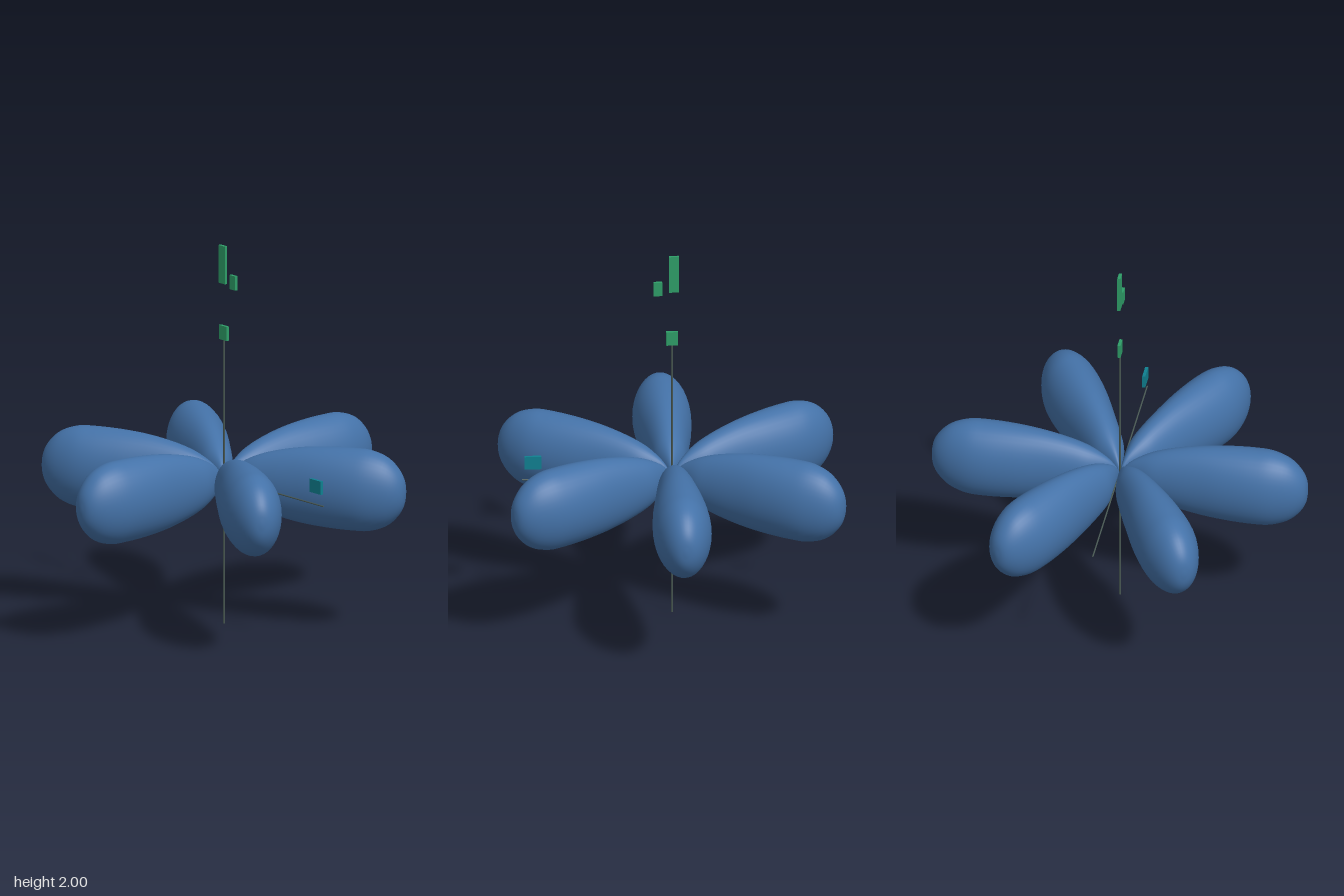
import * as THREE from 'three';

const CENTER_Y = 0.77;

// lobe stations: distance from the centre, half-width, half-height
const STATIONS = [
  [0.015, 0.008, 0.02], [0.05, 0.027, 0.062], [0.1, 0.054, 0.098], [0.165, 0.082, 0.132],
  [0.25, 0.098, 0.162], [0.4, 0.12, 0.195], [0.55, 0.141, 0.211], [0.7, 0.15, 0.216],
  [0.79, 0.142, 0.212], [0.88, 0.115, 0.18], [0.94, 0.08, 0.125], [0.97, 0.044, 0.07], [0.98, 0, 0],
];

const material = (color) => new THREE.MeshStandardMaterial({ color });

// one lobe along +z, lofted through elliptical cross-sections
function lobeGeometry(rings = 48, sides = 40) {
  const curve = new THREE.CatmullRomCurve3(
    STATIONS.map(([t, w, h]) => new THREE.Vector3(w, h, t)), false, 'centripetal');
  const positions = [], index = [];
  for (let i = 0; i <= rings; i++) {
    const p = curve.getPointAt(i / rings);
    for (let j = 0; j < sides; j++) {
      const a = (j / sides) * Math.PI * 2;
      positions.push(p.x * Math.cos(a), p.y * Math.sin(a), p.z);
    }
  }
  for (let i = 0; i < rings; i++) {
    for (let j = 0; j < sides; j++) {
      const a = i * sides + j, b = i * sides + ((j + 1) % sides);
      const c = a + sides, d = b + sides;
      index.push(a, b, c);
      if (i < rings - 1) index.push(b, d, c);
    }
  }
  // close the small inner end
  for (let j = 1; j < sides - 1; j++) index.push(0, j + 1, j);
  const geometry = new THREE.BufferGeometry();
  geometry.setAttribute('position', new THREE.Float32BufferAttribute(positions, 3));
  geometry.setIndex(index);
  geometry.computeVertexNormals();
  // the tip vertices share one point, so give them one normal
  for (let j = 0; j < sides; j++) geometry.attributes.normal.setXYZ(rings * sides + j, 0, 0, 1);
  return geometry;
}

export function createModel() {
  const model = new THREE.Group();
  model.name = 'sixLobedOrbital';

  const add = (name, geometry, mat, x = 0, y = 0, z = 0) => {
    const mesh = new THREE.Mesh(geometry, mat);
    mesh.name = name;
    mesh.position.set(x, y, z);
    model.add(mesh);
    return mesh;
  };

  // six lobes spread evenly around the vertical axis
  const blue = material(0x4472a8);
  const lobe = lobeGeometry();
  for (let i = 0; i < 6; i++) {
    add(`lobe${i + 1}`, lobe, blue, 0, CENTER_Y).rotation.y = (i * Math.PI) / 3;
  }

  // thin axis rods
  const dark = material(0x4a5a55);
  add('verticalAxis', new THREE.CylinderGeometry(0.004, 0.004, 1.5, 8), dark, 0, 0.75);
  add('horizontalAxis', new THREE.CylinderGeometry(0.004, 0.004, 1.54, 8), dark, 0, CENTER_Y)
    .rotation.z = Math.PI / 2;

  // plain marker tiles beside the axes
  const green = material(0x2e9e68), teal = material(0x0f8090);
  const tile = (name, mat, x, y, w, h) => add(name, new THREE.BoxGeometry(w, h, 0.016), mat, x, y);
  tile('topMarker', green, -0.01, 1.9, 0.05, 0.2);
  tile('sideMarker', green, 0.073, 1.82, 0.045, 0.075);
  tile('verticalAxisMarker', green, 0, 1.54, 0.06, 0.075);
  tile('horizontalAxisMarker', teal, 0.715, 0.865, 0.085, 0.07);

  return model;
}
